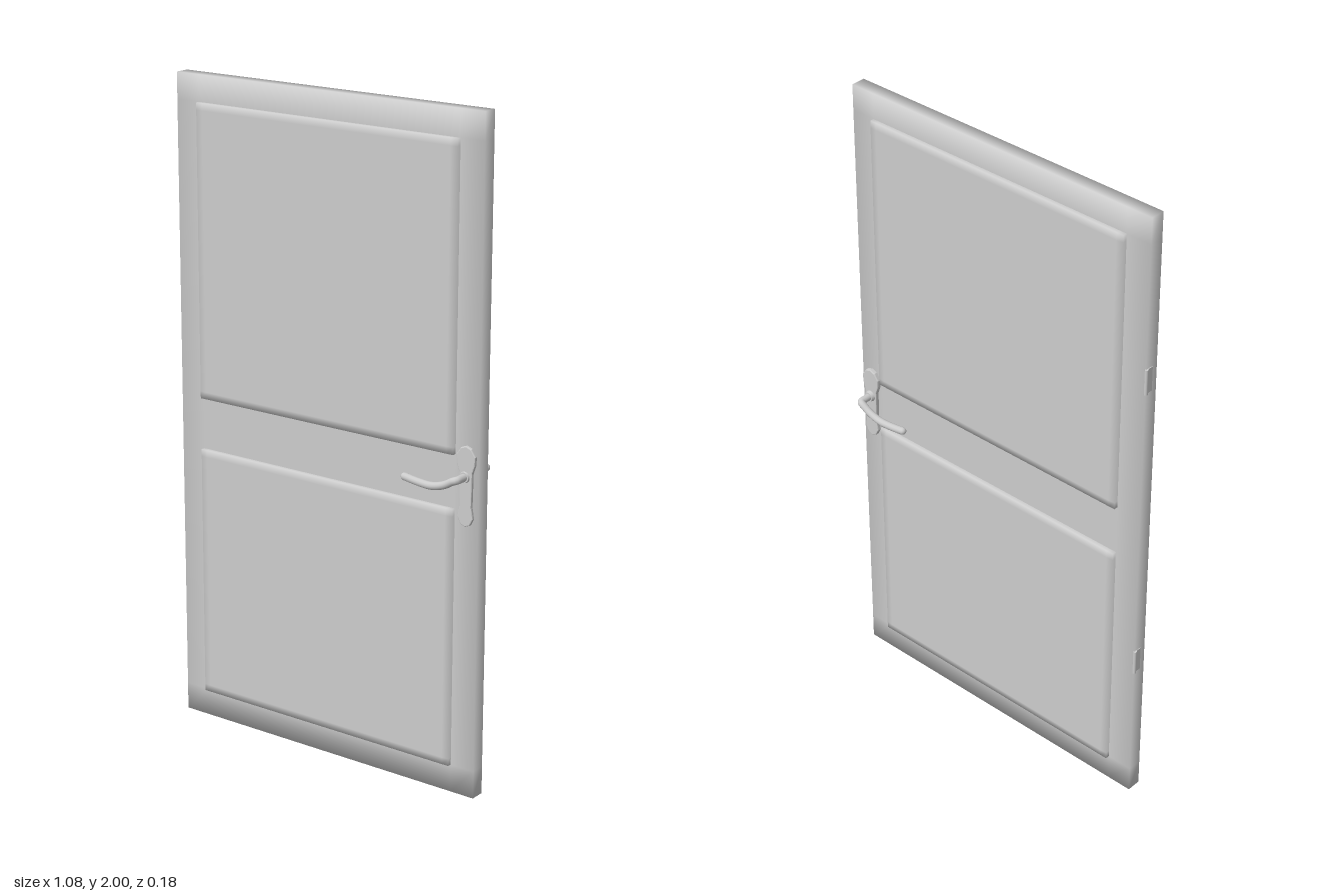
import * as THREE from 'three';
import { mergeVertices } from 'three/addons/utils/BufferGeometryUtils.js';

const material = new THREE.MeshStandardMaterial({ color: 0xcccccc, roughness: 0.6 });
const DOOR_Z = 0.005; // middle plane of the slab

function addMesh(parent, geometry, name) {
  const mesh = new THREE.Mesh(geometry, material);
  mesh.name = name;
  parent.add(mesh);
  return mesh;
}

// Softly shaded block whose faces are divided along the given x and y lines.
// The outer rim of each broad face can sit lower than its middle.
function softBlock(xs, ys, halfDepth, rimDepth = halfDepth) {
  const nx = xs.length - 1, ny = ys.length - 1;
  let g = new THREE.BoxGeometry(nx, ny, 2, nx, ny, 1);
  g.deleteAttribute('normal');
  g.deleteAttribute('uv');
  g = mergeVertices(g);
  const p = g.attributes.position;
  const normals = [];
  const n = new THREE.Vector3();
  for (let i = 0; i < p.count; i++) {
    const ix = Math.round(p.getX(i) + nx / 2);
    const iy = Math.round(p.getY(i) + ny / 2);
    const side = Math.sign(p.getZ(i));
    const ex = ix === 0 ? -1 : ix === nx ? 1 : 0;
    const ey = iy === 0 ? -1 : iy === ny ? 1 : 0;
    p.setXYZ(i, xs[ix], ys[iy], side * (ex || ey ? rimDepth : halfDepth));
    n.set(ex, ey, side).normalize();
    normals.push(n.x, n.y, n.z);
  }
  g.setAttribute('normal', new THREE.Float32BufferAttribute(normals, 3));
  return g;
}

// Back plate outline, round head, narrow waist and flared foot
function plateGeometry() {
  const half = [[0, 1.063], [0.018, 1.056], [0.032, 1.035], [0.03, 1.008], [0.022, 0.985],
    [0.021, 0.93], [0.02, 0.885], [0.026, 0.852], [0.016, 0.832], [0, 0.825]];
  const outline = [
    ...half.map(([x, y]) => new THREE.Vector2(0.5 + x, y)),
    ...half.slice(1, -1).reverse().map(([x, y]) => new THREE.Vector2(0.5 - x, y)),
  ];
  return new THREE.ExtrudeGeometry(new THREE.Shape(outline), {
    depth: 0.01, bevelEnabled: true, bevelThickness: 0.003, bevelSize: 0.003,
    bevelOffset: -0.003, bevelSegments: 2,
  });
}

// One handle set; side is +1 for the front and -1 for the back
function makeHandle(side) {
  const handle = new THREE.Group();
  handle.name = side > 0 ? 'frontHandle' : 'backHandle';

  const plate = addMesh(handle, plateGeometry(), 'backPlate');
  plate.position.z = side > 0 ? 0.0235 : -0.0265;

  // Collar around the spindle
  const collar = addMesh(handle, new THREE.CylinderGeometry(0.015, 0.018, 0.01, 16), 'collar');
  collar.rotation.x = side * Math.PI / 2;
  collar.position.set(0.498, 0.972, side * 0.037);

  // Neck comes out of the plate, turns, and sweeps into a wavy lever
  const z = side * 0.077;
  const V = (x, y, zz) => new THREE.Vector3(x, y, zz);
  const path = new THREE.CurvePath();
  path.add(new THREE.LineCurve3(V(0.498, 0.972, side * 0.025), V(0.498, 0.972, side * 0.066)));
  path.add(new THREE.QuadraticBezierCurve3(V(0.498, 0.972, side * 0.066), V(0.498, 0.972, z), V(0.486, 0.968, z)));
  path.add(new THREE.CatmullRomCurve3([
    V(0.486, 0.968, z), V(0.455, 0.951, z), V(0.415, 0.941, z), V(0.37, 0.943, z), V(0.322, 0.95, z)]));
  addMesh(handle, new THREE.TubeGeometry(path, 48, 0.0115, 12), 'lever');

  // Rounded end of the lever
  const tip = addMesh(handle, new THREE.SphereGeometry(0.0115, 12, 8), 'leverTip');
  tip.position.set(0.322, 0.95, z);
  return handle;
}

function makeHinge(y) {
  const hinge = new THREE.Group();
  hinge.name = 'hinge';
  const leaf = addMesh(hinge, new THREE.BoxGeometry(0.004, 0.078, 0.024), 'hingeLeaf');
  leaf.position.set(-0.537, y, -0.004);
  const pin = addMesh(hinge, new THREE.CylinderGeometry(0.0055, 0.0055, 0.08, 12), 'hingePin');
  pin.position.set(-0.5385, y, -0.017);
  return hinge;
}

export function createModel() {
  const door = new THREE.Group();
  door.name = 'door';

  // Slab, divided along the panel borders
  const slab = addMesh(door, softBlock(
    [-0.537, -0.455, 0.46, 0.539], [0, 0.085, 0.87, 1.03, 1.92, 2], 0.0225), 'slab');
  slab.position.z = DOOR_Z;

  // Raised panels, standing proud on both faces
  for (const [name, y0, y1] of [['lowerPanel', 0.085, 0.87], ['upperPanel', 1.03, 1.92]]) {
    const inset = 0.022;
    const panel = addMesh(door, softBlock(
      [-0.455, -0.455 + inset, 0.46 - inset, 0.46],
      [y0, y0 + inset, y1 - inset, y1], 0.0375, 0.0355), name);
    panel.position.z = DOOR_Z;
  }

  door.add(makeHandle(1), makeHandle(-1));
  door.add(makeHinge(0.507), makeHinge(1.492));
  return door;
}
